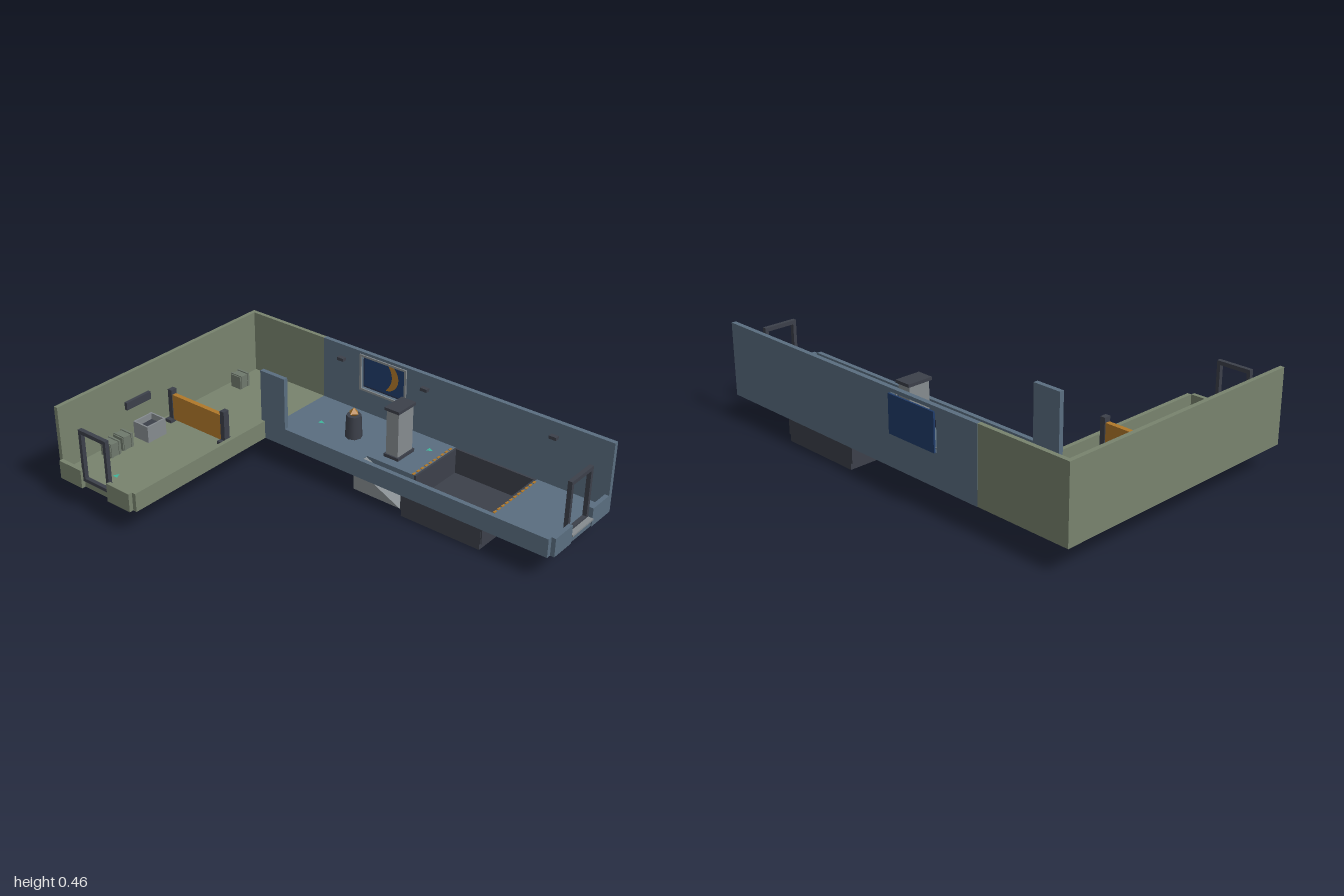
import * as THREE from 'three';

const mat = (name, color) => Object.assign(new THREE.MeshStandardMaterial({ color }), { name });

export function createModel() {
  const green = mat('sage green', 0x78836e);
  const blue = mat('slate blue', 0x5a6e80);
  const dark = mat('charcoal', 0x3c404a);
  const gray = mat('steel gray', 0x858b8f);
  const orange = mat('amber', 0xb0782a);
  const navy = mat('navy', 0x203c6a);
  const teal = mat('teal', 0x3fb59b);
  const crate = mat('crate gray', 0x6f796d);

  const model = new THREE.Group();
  const add = (name, geometry, material, parent = model) => {
    const mesh = new THREE.Mesh(geometry, material);
    mesh.name = name;
    parent.add(mesh);
    return mesh;
  };
  // Box given by its limits on each axis
  const box = (name, m, x0, x1, y0, y1, z0, z1, parent) => {
    const b = add(name, new THREE.BoxGeometry(x1 - x0, y1 - y0, z1 - z0), m, parent);
    b.position.set((x0 + x1) / 2, (y0 + y1) / 2, (z0 + z1) / 2);
    return b;
  };
  const group = (name) => {
    const g = new THREE.Group();
    g.name = name;
    model.add(g);
    return g;
  };
  const BASE = 0.122, FLOOR = 0.155, LOW = 0.21, HIGH = 0.46;

  // Green room: floor, tall outer walls, low inner walls with a doorway at the end
  const room = group('room');
  box('roomFloor', green, -0.63, 0.61, BASE, FLOOR, -0.98, -0.545, room);
  box('roomBackWall', green, -0.63, 0.63, BASE, HIGH, -1, -0.98, room);
  box('roomSideWall', green, 0.61, 0.63, BASE, HIGH, -0.98, -0.545, room);
  box('roomFrontWall', green, -0.63, 0.175, BASE, LOW, -0.55, -0.53, room);
  box('roomEndWall', green, -0.65, -0.63, BASE, LOW, -0.98, -0.845, room);
  box('roomEndWall', green, -0.65, -0.63, BASE, LOW, -0.685, -0.55, room);

  // Blue corridor: floor around the pit and the ramp opening
  const hall = group('corridor');
  box('hallFloorBack', blue, 0.2, 0.61, BASE, FLOOR, -0.545, -0.04, hall);
  box('hallFloorMiddle', blue, 0.3, 0.61, BASE, FLOOR, -0.04, 0.22, hall);
  box('hallFloorFront', blue, 0.2, 0.61, BASE, FLOOR, 0.645, 0.97, hall);
  box('hallLowWall', blue, 0.175, 0.197, BASE, LOW, -0.41, 0.97, hall);
  box('hallPillarWall', blue, 0.175, 0.197, BASE, HIGH, -0.55, -0.41, hall);
  box('hallFrontWall', blue, 0.197, 0.325, BASE, LOW, 0.97, 0.99, hall);
  box('hallFrontWall', blue, 0.485, 0.61, BASE, LOW, 0.97, 0.99, hall);

  // Tall side wall with a window opening
  box('sideWallBack', blue, 0.61, 0.632, BASE, HIGH, -0.545, -0.325, hall);
  box('sideWallFront', blue, 0.61, 0.632, BASE, HIGH, -0.065, 0.99, hall);
  box('wallUnderWindow', blue, 0.61, 0.632, BASE, 0.27, -0.325, -0.065, hall);
  box('wallOverWindow', blue, 0.61, 0.632, 0.445, HIGH, -0.325, -0.065, hall);

  // Window: thin frame, backdrop panel and a crescent on it
  const win = group('window');
  for (const z of [-0.325, -0.07]) box('windowFrameSide', gray, 0.604, 0.61, 0.265, 0.447, z - 0.003, z + 0.008, win);
  for (const y of [0.265, 0.437]) box('windowFrameRail', gray, 0.604, 0.61, y, y + 0.01, -0.317, -0.073, win);
  box('windowBackdrop', navy, 0.638, 0.646, 0.273, 0.443, -0.325, -0.065, win);
  const moon = new THREE.Shape();
  moon.absarc(0, 0, 0.072, -Math.PI / 2, Math.PI / 2, false);
  moon.quadraticCurveTo(0.07, 0, 0, -0.072);
  const crescent = add('crescent', new THREE.ShapeGeometry(moon, 16).rotateY(-Math.PI / 2), orange, win);
  crescent.position.set(0.6365, 0.36, -0.2);

  // Doorway frames
  const door = (x, z, turn) => {
    const g = group('doorFrame');
    for (const s of [-1, 1]) box('doorPost', dark, s * 0.075 - 0.008, s * 0.075 + 0.008, FLOOR, 0.39, -0.01, 0.01, g);
    box('doorLintel', dark, -0.083, 0.083, 0.388, 0.406, -0.01, 0.01, g);
    box('doorThreshold', dark, -0.067, 0.067, FLOOR, 0.17, -0.01, 0.01, g);
    g.position.set(x, 0, z);
    g.rotation.y = turn;
  };
  door(0.403, 0.96, 0);
  door(-0.628, -0.765, Math.PI / 2);
  box('doorStep', blue, 0.325, 0.485, BASE, 0.155, 0.97, 0.985);
  box('doorSill', gray, 0.325, 0.485, 0.155, 0.163, 0.97, 0.995);

  // Sunken pit with an opening for the ramp
  const pit = group('pit');
  box('pitBottom', dark, 0.197, 0.608, 0.003, 0.033, 0.23, 0.637, pit);
  box('pitFrontWall', dark, 0.2, 0.608, 0.033, FLOOR, 0.635, 0.645, pit);
  box('pitBackWall', dark, 0.3, 0.608, 0.033, FLOOR, 0.22, 0.23, pit);
  box('pitSideWall', dark, 0.197, 0.207, 0.033, BASE, 0.225, 0.64, pit);
  box('pitSideWall', dark, 0.598, 0.608, 0.033, FLOOR, 0.225, 0.64, pit);

  // Hazard dashes along the pit edges
  for (const [z, x0, n] of [[0.212, 0.3, 10], [0.65, 0.21, 13]])
    for (let i = 0; i < n; i++)
      box('hazardDash', orange, x0 + i * 0.03, x0 + i * 0.03 + 0.018, FLOOR, FLOOR + 0.003, z - 0.005, z + 0.005, pit);

  // Ramp from the corridor down into the pit
  const slope = new THREE.Shape([[-0.035, 0.035], [0.22, 0.035], [-0.035, 0.155]].map(([z, y]) => new THREE.Vector2(z, y)));
  const ramp = new THREE.ExtrudeGeometry(slope, { depth: 0.092, bevelEnabled: false }).rotateY(-Math.PI / 2);
  add('ramp', ramp, gray).position.x = 0.292;

  // Console column beside the ramp
  const column = group('consoleColumn');
  box('columnBase', dark, 0.345, 0.465, FLOOR, 0.17, 0.018, 0.097, column);
  box('columnShaft', gray, 0.352, 0.458, 0.17, 0.388, 0.025, 0.09, column);
  box('columnCap', dark, 0.343, 0.467, 0.388, 0.402, 0.018, 0.097, column);

  // Eight-sided stand with an amber gem
  const stand = group('stand');
  add('standBody', new THREE.CylinderGeometry(0.035, 0.04, 0.11, 8), dark, stand).position.y = FLOOR + 0.055;
  add('standGem', new THREE.OctahedronGeometry(0.026), orange, stand).position.y = 0.275;
  stand.position.set(0.4, 0, -0.195);

  // Barrier gate across the room
  const gate = group('gate');
  for (const z of [-0.93, -0.605]) {
    box('gateFoot', dark, -0.045, 0.022, FLOOR, 0.17, z - 0.017, z + 0.017, gate);
    box('gatePost', dark, -0.024, 0.008, 0.17, 0.315, z - 0.012, z + 0.012, gate);
  }
  box('gatePanel', orange, -0.02, 0.003, 0.165, 0.292, -0.918, -0.617, gate);

  // Open basin and the sign above it
  const basin = group('basin');
  box('basinBottom', dark, -0.228, -0.132, FLOOR, 0.205, -0.945, -0.87, basin);
  for (const x of [-0.236, -0.132]) box('basinSide', gray, x, x + 0.008, FLOOR, 0.235, -0.953, -0.862, basin);
  for (const z of [-0.953, -0.87]) box('basinEnd', gray, -0.228, -0.132, FLOOR, 0.235, z, z + 0.008, basin);
  box('wallSign', dark, -0.255, -0.108, 0.293, 0.33, -0.98, -0.965);

  // Strapped crates
  for (const [x, z] of [[-0.405, -0.922], [-0.325, -0.927], [0.434, -0.922]]) {
    const g = group('crate');
    box('crateBody', crate, x - 0.032, x + 0.032, FLOOR, 0.219, z - 0.03, z + 0.03, g);
    for (const s of [-1, 1])
      box('crateStrap', crate, x + s * 0.022 - 0.005, x + s * 0.022 + 0.005, FLOOR, 0.224, z - 0.033, z + 0.033, g);
  }

  // Wall lamps
  for (const z of [-0.43, 0.045, 0.712]) box('wallLamp', dark, 0.588, 0.61, 0.385, 0.4, z - 0.018, z + 0.018);

  // Direction arrows on the floor
  const tip = new THREE.Shape([[-0.012, -0.014], [0.016, 0], [-0.012, 0.014]].map(([x, y]) => new THREE.Vector2(x, y)));
  const arrow = new THREE.ShapeGeometry(tip).rotateX(-Math.PI / 2);
  for (const [x, z, turn] of [[-0.52, -0.765, 0], [0.14, -0.765, 0], [0.402, -0.66, 1], [0.402, -0.385, 1], [0.518, -0.053, 1], [0.515, 0.147, 1]]) {
    const a = add('floorArrow', arrow, teal);
    a.position.set(x, FLOOR + 0.002, z);
    a.rotation.y = -turn * Math.PI / 2;
  }
  return model;
}
